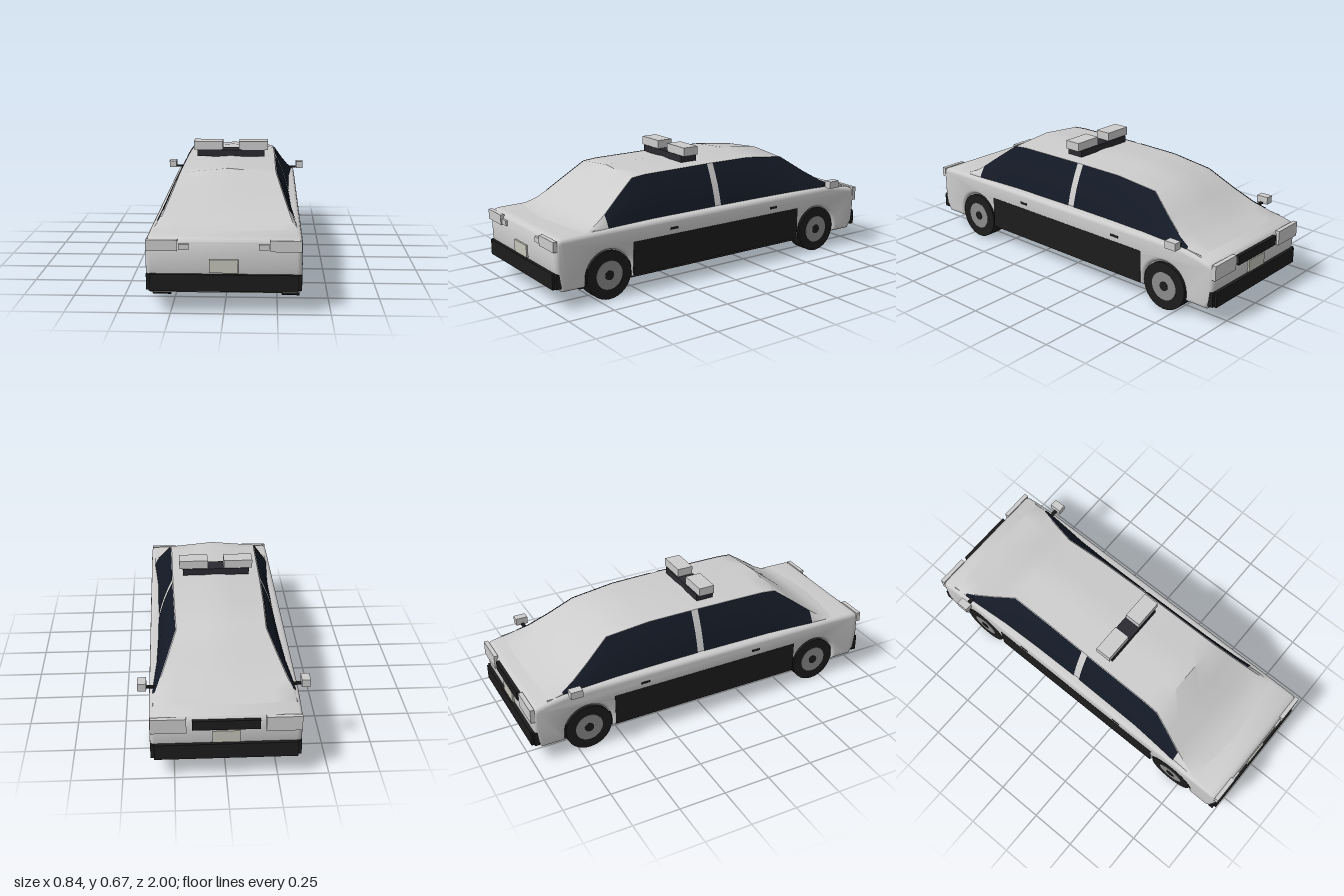
import * as THREE from 'three';
import { toCreasedNormals } from 'three/addons/utils/BufferGeometryUtils.js';

const mat = (color, side = THREE.FrontSide) => new THREE.MeshStandardMaterial({ color, side });
const paint = mat(0xcccccc);
const black = mat(0x1c1c1c);
const dark = mat(0x2a2a30);
const glass = mat(0x141a26, THREE.DoubleSide);
const rimGrey = mat(0x8c8c8c);
const plateGrey = mat(0xc4c4ba);

// Cabin stations: z, belt half-width, roof-edge half-width, roof-edge y, centre y
const STATIONS = [
  [0.9, 0.345, 0.34, 0.354, 0.355],
  [0.8, 0.345, 0.335, 0.362, 0.367],
  [0.74, 0.342, 0.32, 0.385, 0.394],
  [0.68, 0.34, 0.303, 0.422, 0.43],
  [0.58, 0.332, 0.272, 0.497, 0.512],
  [0.48, 0.325, 0.243, 0.57, 0.593],
  [0.4, 0.32, 0.24, 0.577, 0.596],
  [0, 0.315, 0.237, 0.58, 0.597],
  [-0.28, 0.318, 0.232, 0.577, 0.596],
  [-0.52, 0.325, 0.226, 0.55, 0.57],
  [-0.65, 0.335, 0.275, 0.46, 0.478],
  [-0.75, 0.342, 0.312, 0.398, 0.41],
  [-0.82, 0.345, 0.334, 0.368, 0.376],
  [-0.9, 0.345, 0.34, 0.345, 0.347],
];
const BELT = 0.362;

// Station values at any z
function stationAt(z) {
  let i = 0;
  while (i < STATIONS.length - 2 && z < STATIONS[i + 1][0]) i++;
  const a = STATIONS[i], b = STATIONS[i + 1];
  const t = (z - a[0]) / (b[0] - a[0]);
  return a.map((v, k) => v + (b[k] - v) * t);
}

// Slightly bowed cabin side: t = 0 at the belt, 1 at the roof edge
function sidePoint([z, wb, wr, yr], t) {
  const bow = Math.sin(Math.PI * t) * 0.1 * Math.max(0, wb - wr);
  const base = Math.min(BELT, yr - 0.002);
  return [wb + (wr - wb) * t + bow, base + (yr - base) * t, z];
}

// Grid of points (rows of equal length) to a surface
function surface(rows) {
  const n = rows[0].length, index = [];
  for (let i = 0; i < rows.length - 1; i++)
    for (let j = 0; j < n - 1; j++) {
      const a = i * n + j, b = a + n;
      index.push(a, b, a + 1, b, b + 1, a + 1);
    }
  const geo = new THREE.BufferGeometry();
  geo.setAttribute('position', new THREE.Float32BufferAttribute(rows.flat(2), 3));
  geo.setIndex(index);
  geo.computeVertexNormals();
  return geo;
}

function cabinGeometry() {
  const rows = STATIONS.map((s) => {
    const [z, wb, wr, yr, yc] = s;
    const half = [[0.355, 0.335, z], [Math.max(wb, 0.342), 0.352, z]];
    for (let k = 0; k <= 4; k++) half.push(sidePoint(s, k / 4));
    for (const f of [0.7, 0.35]) half.push([wr * f, yr + (yc - yr) * (1 - f), z]);
    const mirrored = half.map(([x, y]) => [-x, y, z]).reverse();
    return [...half, [0, yc, z], ...mirrored];
  });
  return toCreasedNormals(surface(rows), 0.6);
}

// Side profile with wheel arches, extruded across the width
function lowerBodyGeometry() {
  const s = new THREE.Shape();
  s.moveTo(-0.95, 0.088);
  for (const z of [-0.69, 0.69]) {
    s.lineTo(z - 0.132, 0.088);
    s.lineTo(z - 0.132, 0.127);
    s.absarc(z, 0.127, 0.132, Math.PI, 0, true);
    s.lineTo(z + 0.132, 0.088);
  }
  s.lineTo(0.95, 0.088);
  s.lineTo(0.975, 0.13);
  s.lineTo(0.988, 0.22);
  s.lineTo(0.984, 0.33);
  s.quadraticCurveTo(0.98, 0.357, 0.94, 0.359);
  s.lineTo(0.8, 0.361);
  s.lineTo(-0.78, 0.365);
  s.quadraticCurveTo(-0.88, 0.352, -0.95, 0.336);
  s.quadraticCurveTo(-0.98, 0.33, -0.985, 0.3);
  s.lineTo(-0.986, 0.22);
  s.lineTo(-0.975, 0.13);
  s.closePath();
  const geo = new THREE.ExtrudeGeometry(s, {
    depth: 0.68, bevelThickness: 0.025, bevelSize: 0.022, bevelOffset: -0.022,
    bevelSegments: 4, curveSegments: 16,
  });
  geo.translate(0, 0, -0.34);
  geo.rotateY(-Math.PI / 2);
  return toCreasedNormals(geo, 0.6);
}

// Window strip through the given z values, just outside the cabin side
function windowGeometry(zs, side) {
  const rows = zs.map((z) => {
    const s = stationAt(z);
    return [0, 0.25, 0.5, 0.75, 1].map((t) => {
      const [x, y] = sidePoint(s, t);
      return [side * (x + 0.004), y + 0.001, z];
    });
  });
  return surface(side > 0 ? rows : rows.reverse());
}

export function createModel() {
  const car = new THREE.Group();
  car.name = 'car';
  const add = (name, geo, material, parent = car) => {
    const m = new THREE.Mesh(geo, material);
    m.name = name;
    parent.add(m);
    return m;
  };
  // Box given by its extents
  const box = (name, material, x0, x1, y0, y1, z0, z1) => {
    const m = add(name, new THREE.BoxGeometry(Math.abs(x1 - x0), y1 - y0, Math.abs(z1 - z0)), material);
    m.position.set((x0 + x1) / 2, (y0 + y1) / 2, (z0 + z1) / 2);
  };
  const axle = (name, r, length, material, parent, x) => {
    const m = add(name, new THREE.CylinderGeometry(r, r, length, 32).rotateZ(Math.PI / 2), material, parent);
    m.position.x = x;
  };

  add('lowerBody', lowerBodyGeometry(), paint);
  add('cabin', cabinGeometry(), paint);
  box('chassis', black, -0.302, 0.302, 0.064, 0.1, -0.82, 0.83);

  // Wheel wells behind the wheels
  for (const z of [-0.69, 0.69]) {
    const well = new THREE.CylinderGeometry(0.145, 0.145, 0.69, 32).rotateZ(Math.PI / 2);
    const pos = well.attributes.position;
    for (let i = 0; i < pos.count; i++) pos.setY(i, Math.max(0, pos.getY(i)));
    add('wheelArch', well, paint).position.set(0, 0.127, z);
    box('wheelWell', black, -0.35, 0.35, 0.09, 0.178, z - 0.146, z + 0.146);
  }

  for (const side of [1, -1]) {
    // Side windows and trim
    add('rearWindow', windowGeometry([0.68, 0.58, 0.48, 0.4, 0.2, 0.003], side), glass);
    add('frontWindow', windowGeometry([-0.035, -0.28, -0.52, -0.65, -0.75, -0.815], side), glass);
    box('doorPanel', black, side * 0.35, side * 0.3665, 0.1, 0.275, -0.542, 0.55);
    for (const z of [0.3, -0.365])
      box('doorHandle', black, side * 0.355, side * 0.367, 0.3, 0.312, z - 0.025, z + 0.025);

    // Mirrors
    box('mirrorArm', black, side * 0.335, side * 0.38, 0.369, 0.378, -0.775, -0.757);
    box('mirror', paint, side * 0.378, side * 0.421, 0.37, 0.41, -0.8, -0.735);

    // Lamps at both ends
    box('rearLamp', paint, side * 0.215, side * 0.362, 0.3, 0.353, 0.975, 0.998);
    box('rearInnerLamp', paint, side * 0.163, side * 0.21, 0.306, 0.333, 0.975, 0.994);
    box('headLamp', paint, side * 0.19, side * 0.362, 0.255, 0.332, -0.998, -0.975);
    box('roofLamp', paint, side * 0.044, side * 0.2, 0.627, 0.673, 0.036, 0.124);

    // Wheels
    for (const z of [-0.69, 0.69]) {
      const wheel = new THREE.Group();
      wheel.name = 'wheel';
      wheel.position.set(0, 0.127, z);
      axle('tyre', 0.127, 0.086, black, wheel, side * 0.317);
      axle('rim', 0.075, 0.02, rimGrey, wheel, side * 0.352);
      axle('hub', 0.025, 0.02, black, wheel, side * 0.354);
      car.add(wheel);
    }
  }

  // Bumpers and plates
  for (const end of [1, -1]) {
    box('bumper', black, -0.346, 0.346, 0.108, 0.189, end * 0.95, end * 1);
    box('bumperCorners', black, -0.363, 0.363, 0.112, 0.187, end * 0.96, end * 0.988);
    box('plate', plateGrey, -0.067, 0.067, 0.196, 0.26, end * 0.97, end * 0.995);
  }
  box('grille', black, -0.163, 0.163, 0.268, 0.318, -0.997, -0.97);

  // Roof light bar
  box('lightBarBase', dark, -0.181, 0.181, 0.592, 0.628, 0.03, 0.128);
  return car;
}
